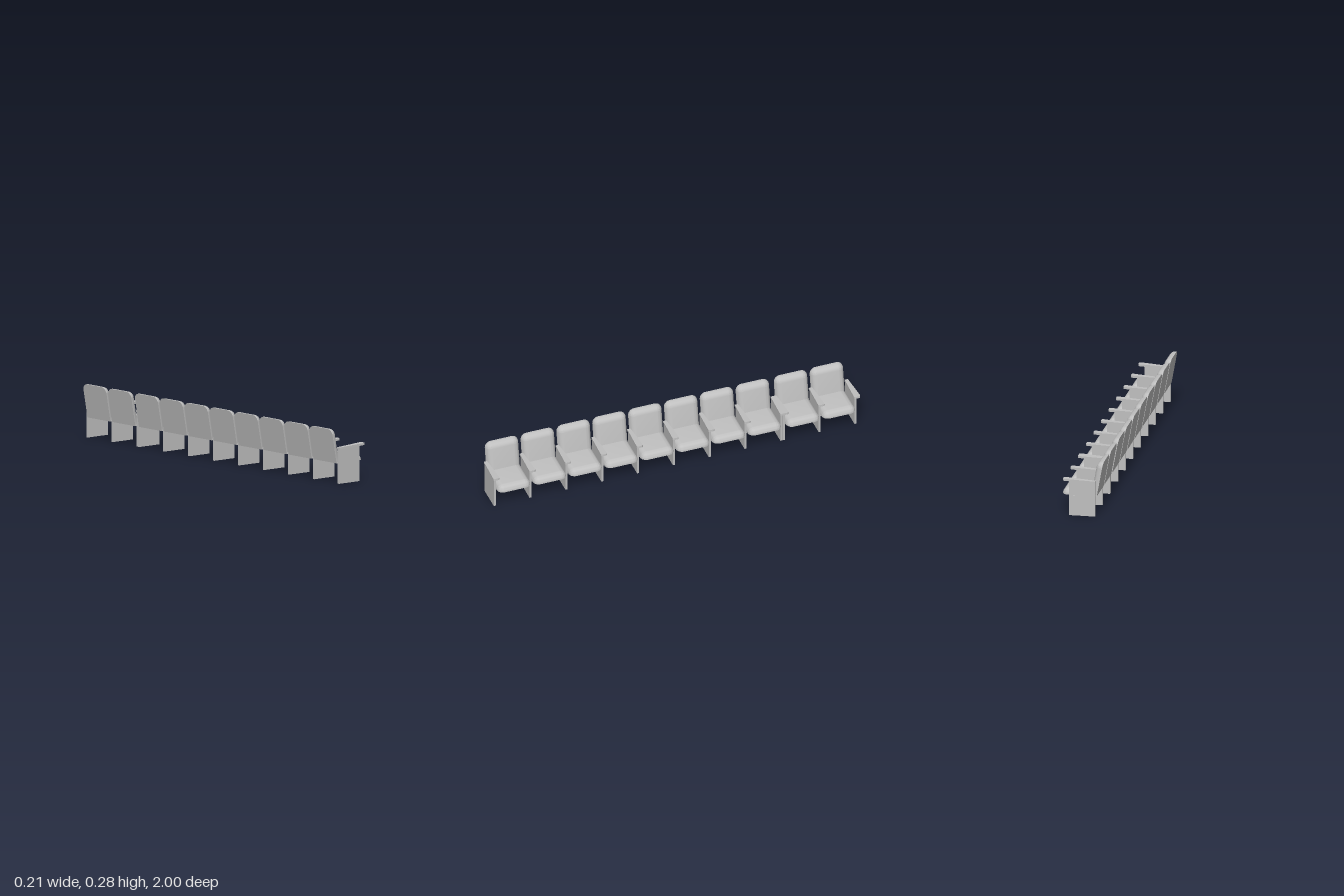
import * as THREE from 'three';
import { toCreasedNormals } from 'three/addons/utils/BufferGeometryUtils.js';

// Padded cushion: width on X, length on Y, thickness on Z.
// Flat underside and flat near end; the other three edges are quarter-rounded.
function cushionGeometry(halfWidth, length, r) {
  const corner = 8, layers = 8;
  const pos = [], index = [];
  for (let i = 0; i <= layers; i++) {
    const a = (i / layers) * Math.PI / 2;
    const rad = r * Math.cos(a), t = r * Math.sin(a);
    const cx = halfWidth - r, cy = length - r;
    pos.push(-cx - rad, 0, t);
    for (let k = 0; k <= corner; k++) {
      const b = Math.PI - (k / corner) * Math.PI / 2;
      pos.push(-cx + rad * Math.cos(b), cy + rad * Math.sin(b), t);
    }
    for (let k = 0; k <= corner; k++) {
      const b = Math.PI / 2 - (k / corner) * Math.PI / 2;
      pos.push(cx + rad * Math.cos(b), cy + rad * Math.sin(b), t);
    }
    pos.push(cx + rad, 0, t);
  }
  const n = 2 * corner + 4;
  for (let i = 0; i < layers; i++) {
    for (let j = 0; j < n; j++) {
      const a = i * n + j, b = i * n + (j + 1) % n;
      index.push(a, a + n, b, b, a + n, b + n);
    }
  }
  const top = layers * n;
  for (let j = 1; j < n - 1; j++) {
    index.push(0, j, j + 1);
    index.push(top, top + j + 1, top + j);
  }
  const g = new THREE.BufferGeometry();
  g.setAttribute('position', new THREE.Float32BufferAttribute(pos, 3));
  g.setIndex(index);
  return toCreasedNormals(g, 0.6);
}

// Armrest: tapered plan, wider and rounded at the front, rising slightly
function armrestGeometry() {
  const s = new THREE.Shape();
  s.moveTo(0, -0.009);
  s.lineTo(0.156, -0.017);
  s.quadraticCurveTo(0.167, -0.017, 0.167, -0.007);
  s.lineTo(0.167, 0.007);
  s.quadraticCurveTo(0.167, 0.017, 0.156, 0.017);
  s.lineTo(0, 0.009);
  const g = new THREE.ExtrudeGeometry(s, { depth: 0.011, bevelEnabled: false, curveSegments: 6 });
  g.rotateX(-Math.PI / 2);
  g.rotateZ(0.055);
  g.translate(-0.07, 0.177, 0);
  return g;
}

// Side panel with a sloped top that meets the armrest
function panelGeometry() {
  const t = 0.011;
  const s = new THREE.Shape();
  s.moveTo(-0.07, 0);
  s.lineTo(0.066, 0);
  s.lineTo(0.066, 0.186);
  s.lineTo(-0.07, 0.178);
  const g = new THREE.ExtrudeGeometry(s, { depth: t, bevelEnabled: false });
  g.translate(0, 0, -t / 2);
  return g;
}

export function createModel() {
  const model = new THREE.Group();
  model.name = 'seatRow';
  const grey = new THREE.MeshStandardMaterial({ color: 0xc0c0c0 });
  grey.name = 'grey';

  const add = (name, geometry, z) => {
    const mesh = new THREE.Mesh(geometry, grey);
    mesh.name = name;
    mesh.position.z = z;
    model.add(mesh);
  };

  // Seat lies flat facing +x; backrest is the same padding stood up and reclined
  const X = new THREE.Vector3(1, 0, 0), Y = new THREE.Vector3(0, 1, 0), Z = new THREE.Vector3(0, 0, 1);
  const seat = cushionGeometry(0.09, 0.18, 0.033);
  seat.applyMatrix4(new THREE.Matrix4().makeBasis(Z, X, Y));
  seat.translate(-0.074, 0.105, 0);
  const back = cushionGeometry(0.09, 0.181, 0.033);
  back.rotateY(Math.PI / 2);
  back.rotateZ(0.178);
  back.translate(-0.076, 0.105, 0);

  const armrest = armrestGeometry();
  const panel = panelGeometry();

  // Two joined benches: eight seats, then two
  const pitch = 0.1953;
  for (const [start, count] of [[0.983, 8], [-0.5924, 2]]) {
    for (let i = 0; i <= count; i++) {
      const z = start - i * pitch;
      add('sidePanel', panel, z);
      add('armrest', armrest, z);
      if (i < count) {
        add('seatCushion', seat, z - pitch / 2);
        add('backrest', back, z - pitch / 2);
      }
    }
  }

  // Support beam under the seats
  const beam = new THREE.BoxGeometry(0.018, 0.015, 1.97);
  beam.translate(0.044, 0.0985, 0);
  add('supportBeam', beam, -0.007);

  return model;
}
